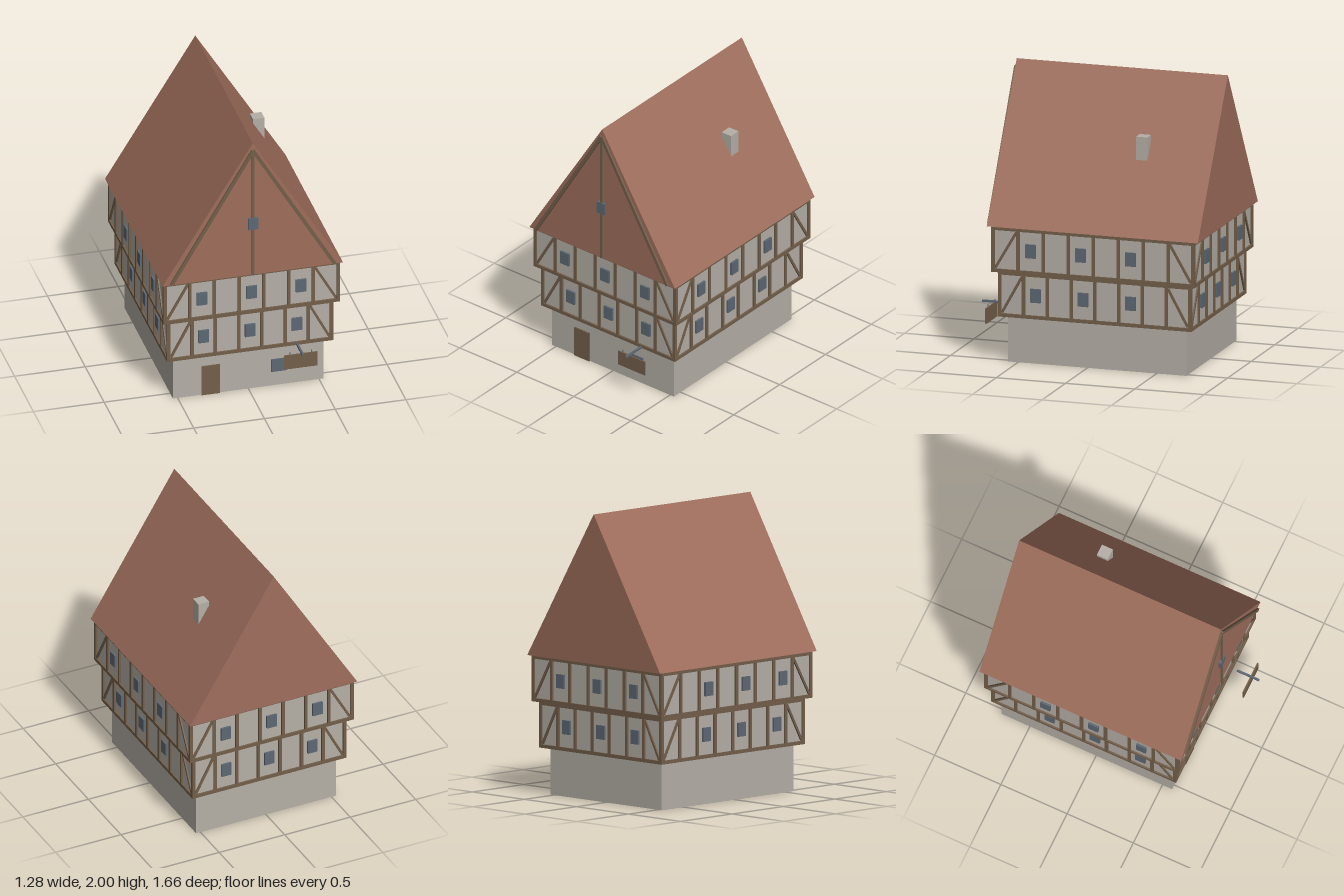
import * as THREE from 'three';

const mat = (name, color) => Object.assign(new THREE.MeshStandardMaterial({ color }), { name });

export function createModel() {
  const plaster = mat('plaster', 0xb5afa6);
  const timber = mat('timber', 0x735f4a);
  const slate = mat('slate glass', 0x5d6874);
  const tile = mat('roof tile', 0x9f6e5c);

  const house = new THREE.Group();
  house.name = 'house';
  const CZ = -0.07; // depth centre of the building
  const BEAM = 0.024;

  const box = (parent, name, material, size, pos) => {
    const mesh = new THREE.Mesh(new THREE.BoxGeometry(...size), material);
    mesh.name = name;
    mesh.position.set(...pos);
    parent.add(mesh);
    return mesh;
  };

  // Slanted beam between two points in the XY plane
  const strut = (parent, name, a, b, width, depth, z) => {
    const dx = b[0] - a[0], dy = b[1] - a[1];
    const mesh = box(parent, name, timber, [Math.hypot(dx, dy), width, depth],
      [(a[0] + b[0]) / 2, (a[1] + b[1]) / 2, z]);
    mesh.rotation.z = Math.atan2(dy, dx);
  };

  // Timber framing and windows of one wall, in the wall's own plane
  function framedWall(name, length, height, bays, windowBays) {
    const wall = new THREE.Group();
    wall.name = name;
    const half = length / 2, bay = length / bays, inner = BEAM / 2;
    for (const y of [inner, height - inner]) {
      box(wall, 'rail', timber, [length - BEAM, BEAM, BEAM], [0, y, 0]);
    }
    for (let i = 1; i < bays; i++) {
      box(wall, 'post', timber, [0.022, height - 2 * BEAM, BEAM], [-half + i * bay, height / 2, 0]);
    }
    for (const s of [-1, 1]) {
      strut(wall, 'brace', [s * (half - 0.016), BEAM + 0.006],
        [s * (half - bay + 0.012), height - BEAM - 0.006], 0.017, 0.02, 0);
    }
    for (const i of windowBays) {
      box(wall, 'window', slate, [0.074, 0.096, 0.03], [-half + (i + 0.5) * bay, 0.164, 0]);
    }
    return wall;
  }

  // One jettied storey: plaster core, corner posts and four framed walls
  function storey(name, halfX, halfZ, y0) {
    const h = 0.32;
    const floor = new THREE.Group();
    floor.name = name;
    floor.position.set(0, y0, CZ);
    box(floor, 'plasterCore', plaster, [halfX * 2, h - 0.006, halfZ * 2], [0, h / 2, 0]);
    for (const sx of [-1, 1]) for (const sz of [-1, 1]) {
      box(floor, 'cornerPost', timber, [BEAM, h, BEAM], [sx * halfX, h / 2, sz * halfZ]);
    }
    const walls = [
      ['frontWall', halfX, 7, [1, 3, 5], 0, [0, 0, halfZ]],
      ['backWall', halfX, 7, [1, 3, 5], Math.PI, [0, 0, -halfZ]],
      ['leftWall', halfZ, 8, [1, 3, 5], Math.PI / 2, [halfX, 0, 0]],
      ['rightWall', halfZ, 8, [2, 4, 6], -Math.PI / 2, [-halfX, 0, 0]],
    ];
    for (const [wallName, half, bays, windows, turn, pos] of walls) {
      const wall = framedWall(wallName, half * 2, h, bays, windows);
      wall.rotation.y = turn;
      wall.position.set(...pos);
      floor.add(wall);
    }
    house.add(floor);
  }

  // Ground floor with door and window
  box(house, 'groundFloor', plaster, [1.066, 0.327, 1.286], [0, 0.1635, CZ]);
  box(house, 'door', timber, [0.13, 0.225, 0.02], [-0.267, 0.1125, 0.573]);
  box(house, 'groundWindow', slate, [0.107, 0.096, 0.02], [0.213, 0.158, 0.573]);

  storey('lowerStorey', 0.576, 0.686, 0.325);
  storey('upperStorey', 0.613, 0.722, 0.645);

  // Roof prism
  const gable = new THREE.Shape();
  gable.moveTo(-0.638, 0.965);
  gable.lineTo(0.638, 0.965);
  gable.lineTo(0, 2);
  const roof = new THREE.Mesh(
    new THREE.ExtrudeGeometry(gable, { depth: 1.523, bevelEnabled: false }), tile);
  roof.name = 'roof';
  roof.position.z = -0.832;
  house.add(roof);

  // Gable timbers and attic window
  for (const s of [-1, 1]) {
    strut(house, 'gableRafter', [s * 0.577, 0.97], [0, 1.945], 0.024, 0.026, 0.693);
  }
  box(house, 'kingPost', timber, [0.018, 0.95, 0.022], [0, 1.445, 0.693]);
  box(house, 'atticWindow', slate, [0.07, 0.088, 0.034], [0, 1.372, 0.691]);

  box(house, 'chimney', plaster, [0.082, 0.2, 0.082], [0.303, 1.505, -0.327]);

  // Hanging sign
  const sign = new THREE.Group();
  sign.name = 'hangingSign';
  sign.position.set(0.319, 0, 0.765);
  box(sign, 'signArm', slate, [0.014, 0.014, 0.167], [0, 0.358, -0.0185]);
  box(sign, 'signBoard', timber, [0.236, 0.108, 0.01], [0, 0.281, 0]);
  for (const s of [-1, 1]) {
    box(sign, 'signHanger', slate, [0.005, 0.022, 0.005], [s * 0.076, 0.345, 0]);
  }
  house.add(sign);

  return house;
}
